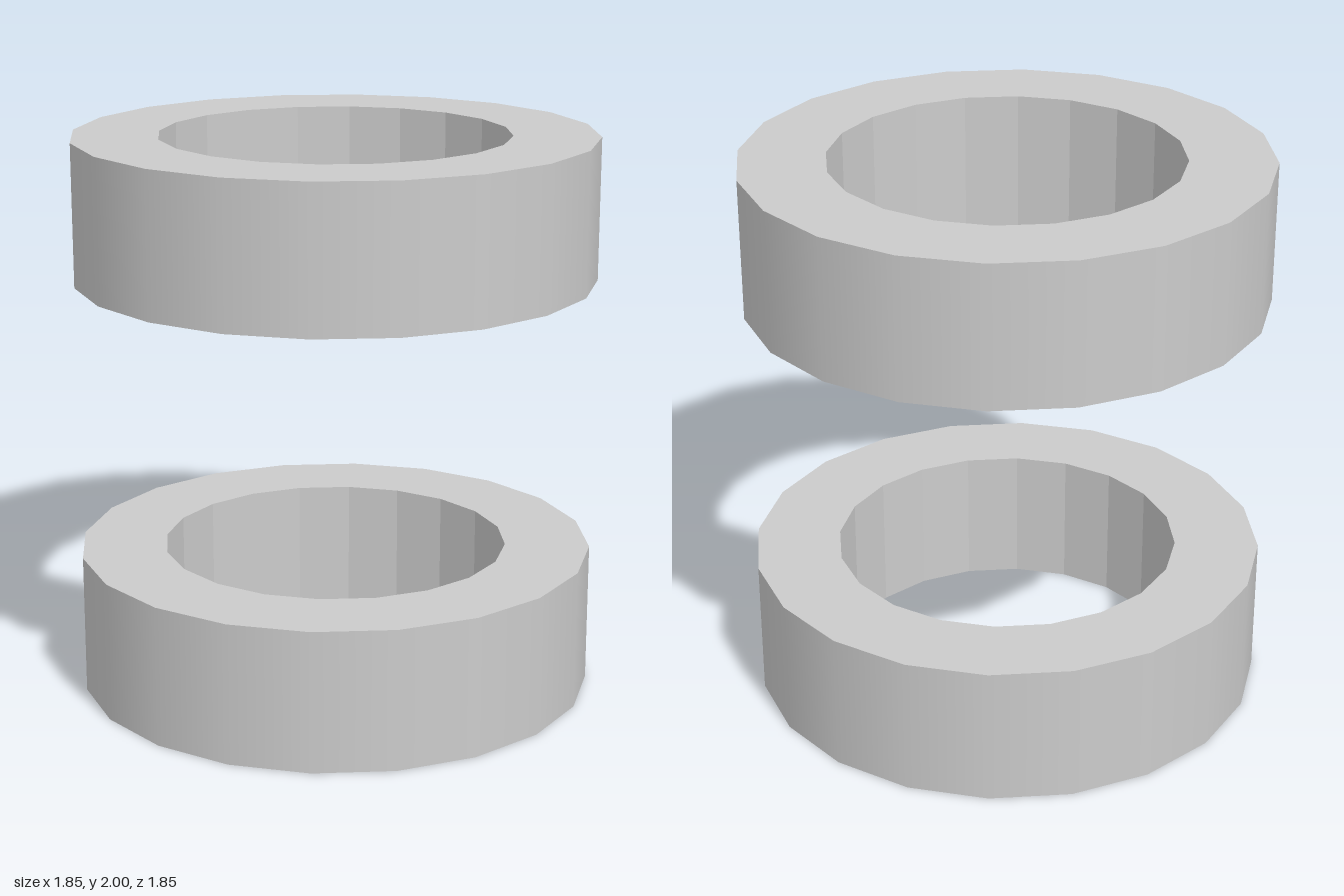
import * as THREE from 'three';
import { mergeGeometries } from 'three/addons/utils/BufferGeometryUtils.js';

const SIDES = 20;
const OUTER = 0.925;
const INNER = 0.62;
const HEIGHT = 0.505;

// A thick ring: smooth outer wall, faceted inner wall, flat end faces
function ringGeometry() {
  const outerWall = new THREE.CylinderGeometry(OUTER, OUTER, HEIGHT, SIDES, 1, true).toNonIndexed();

  // mirroring turns the wall to face the hole
  const innerWall = new THREE.CylinderGeometry(INNER, INNER, HEIGHT, SIDES, 1, true)
    .scale(-1, 1, 1).toNonIndexed();
  innerWall.computeVertexNormals();

  const endFace = (side) => new THREE.RingGeometry(INNER, OUTER, SIDES)
    .rotateX(-side * Math.PI / 2)
    .translate(0, side * HEIGHT / 2, 0)
    .toNonIndexed();

  return mergeGeometries([outerWall, innerWall, endFace(1), endFace(-1)]);
}

export function createModel() {
  const model = new THREE.Group();
  model.name = 'ringPair';
  const material = new THREE.MeshStandardMaterial({ color: 0xcccccc });
  const geometry = ringGeometry();

  // Two equal rings, one above the other
  for (const [name, y] of [['lowerRing', HEIGHT / 2], ['upperRing', 2 - HEIGHT / 2]]) {
    const ring = new THREE.Mesh(geometry, material);
    ring.name = name;
    ring.position.y = y;
    model.add(ring);
  }
  return model;
}
